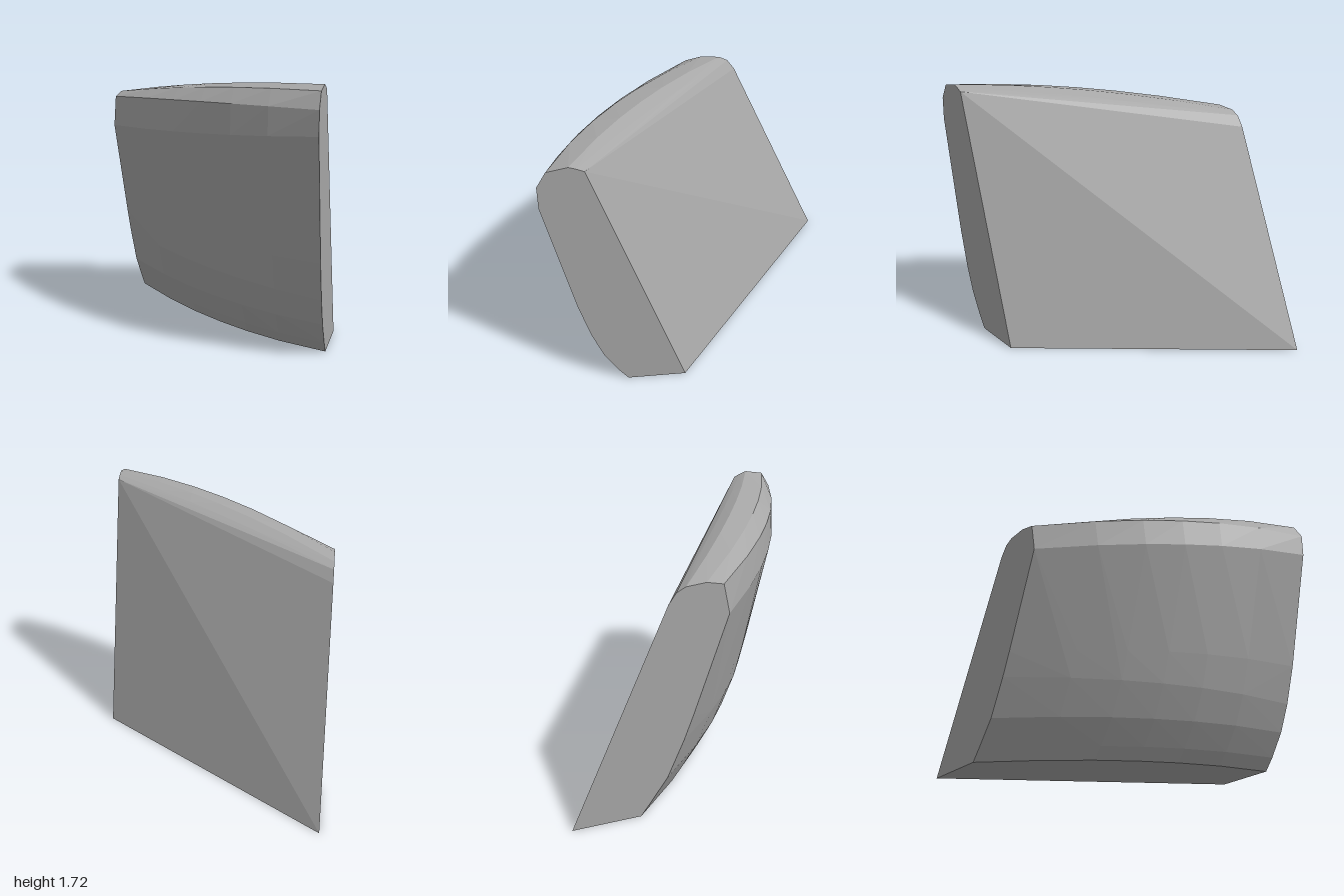
import * as THREE from 'three';
import { ConvexGeometry } from 'three/addons/geometries/ConvexGeometry.js';

// Each row: left-end z, y, right-end z, y, then mid-span bow in z and y
const PROFILE = [
  [-1.00, 0.00, 0.16, 0.00, 0, 0],          // back bottom edge
  [-0.55, 0.00, 0.54, 0.00, 0.16, 0],       // front bottom edge
  [-0.49, 0.08, 0.60, 0.08, 0.16, 0],
  [-0.37, 0.25, 0.69, 0.23, 0.16, 0],
  [-0.26, 0.50, 0.76, 0.41, 0.16, 0],
  [-0.20, 0.66, 0.83, 0.66, 0.15, 0],
  [0.03, 1.32, 1.00, 1.44, 0.13, 0],        // upper front
  [-0.01, 1.515, 1.00, 1.59, 0.13, 0.02],
  [-0.12, 1.54, 0.94, 1.69, 0.11, 0.035],   // rounded crest
  [-0.25, 1.53, 0.81, 1.715, 0.07, 0.035],
  [-0.31, 1.50, 0.765, 1.70, 0.03, 0.02],
  [-0.36, 1.43, 0.72, 1.68, 0, 0],          // back top edge
];
const HALF_WIDTH = 0.785;
const STATIONS = [-1, -0.6, -0.28, 0, 0.28, 0.6, 1];

export function createModel() {
  const group = new THREE.Group();
  group.name = 'curvedPanel';

  const grey = new THREE.MeshStandardMaterial({ color: 0xa8a8a8 });
  grey.name = 'plain grey';

  // Sections blended from one end to the other, bowed outward in the middle
  const points = [];
  for (const s of STATIONS) {
    const t = (s + 1) / 2;
    const bow = 1 - s * s;
    for (const [zl, yl, zr, yr, bz, by] of PROFILE) {
      if (bz === 0 && bow > 0) continue; // back edges are straight
      points.push(new THREE.Vector3(
        s * HALF_WIDTH,
        THREE.MathUtils.lerp(yl, yr, t) + by * bow,
        THREE.MathUtils.lerp(zl, zr, t) + bz * bow,
      ));
    }
  }

  // Faceted convex shell
  const body = new THREE.Mesh(new ConvexGeometry(points), grey);
  body.name = 'panelBody';
  group.add(body);
  return group;
}
